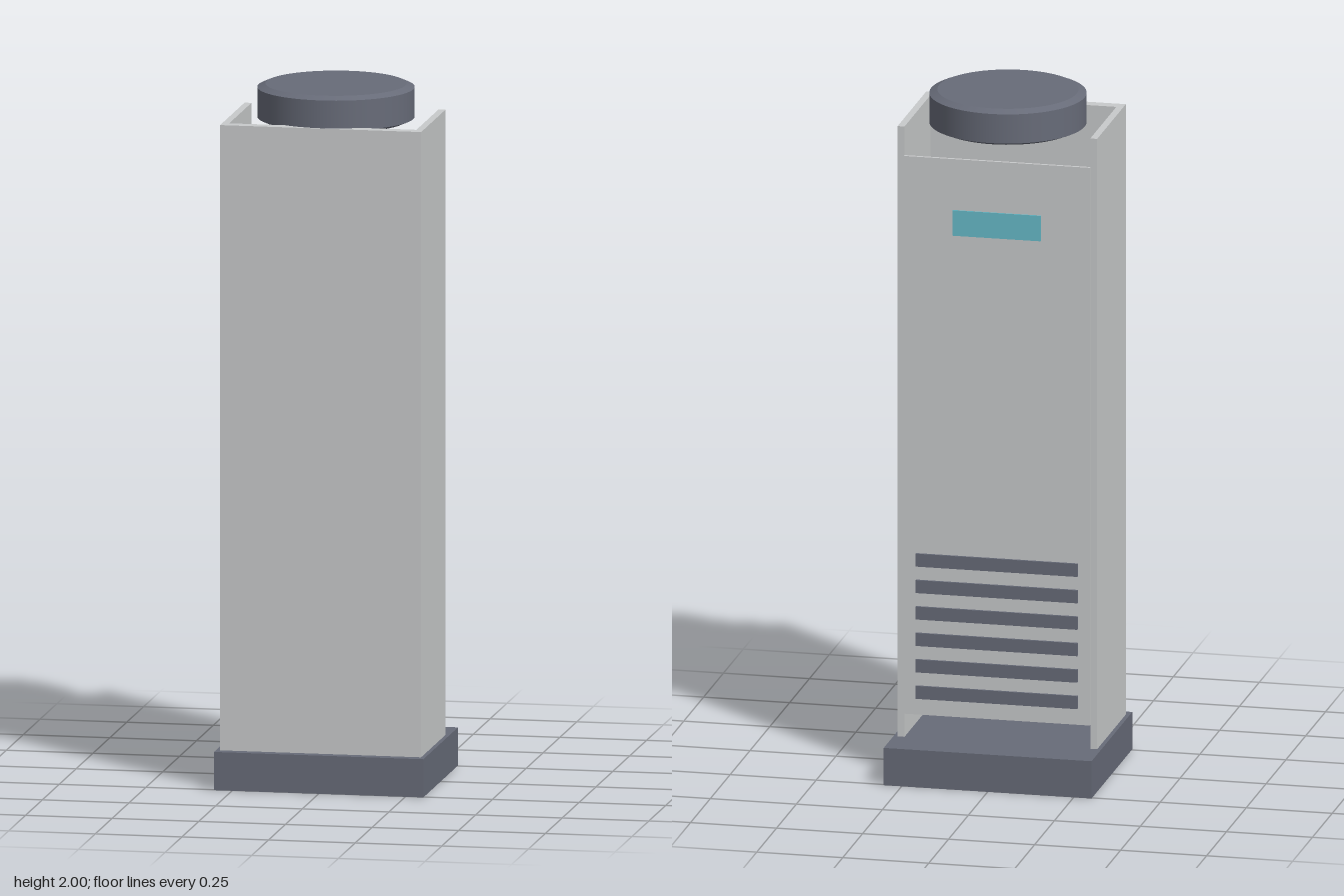
import * as THREE from 'three';

export function createModel() {
  const model = new THREE.Group();
  model.name = 'towerCabinet';

  const mat = (name, color) => {
    const m = new THREE.MeshStandardMaterial({ color });
    m.name = name;
    return m;
  };
  const lightGrey = mat('lightGrey', 0xc8cacb);
  const slate = mat('slate', 0x676b78);
  const cyan = mat('cyan', 0x67bbc9);

  const add = (name, geometry, material, parent = model) => {
    const mesh = new THREE.Mesh(geometry, material);
    mesh.name = name;
    parent.add(mesh);
    return mesh;
  };

  // Box given by its limits on each axis
  const box = (name, [x0, x1], [y0, y1], [z0, z1], material, parent) => {
    const mesh = add(name, new THREE.BoxGeometry(x1 - x0, y1 - y0, z1 - z0), material, parent);
    mesh.position.set((x0 + x1) / 2, (y0 + y1) / 2, (z0 + z1) / 2);
    return mesh;
  };

  // Plinth
  box('base', [-0.302, 0.302], [0, 0.11], [-0.257, 0.257], slate);

  // U-shaped shell, open at the back and top
  const plan = new THREE.Shape([
    [-0.29, 0.134], [-0.29, -0.228], [0.29, -0.228], [0.29, 0.134],
    [0.27, 0.134], [0.27, -0.195], [-0.27, -0.195], [-0.27, 0.134],
  ].map(([x, y]) => new THREE.Vector2(x, y)));
  const shell = add('shell',
    new THREE.ExtrudeGeometry(plan, { depth: 1.8, bevelEnabled: false }), lightGrey);
  shell.rotation.x = -Math.PI / 2;
  shell.position.y = 0.11;

  // Back panel, shorter than the shell at both ends
  box('backPanel', [-0.27, 0.27], [0.18, 1.825], [-0.14, -0.131], lightGrey);
  box('display', [-0.128, 0.128], [1.6, 1.675], [-0.144, -0.138], cyan);

  // Vent slats
  const vents = new THREE.Group();
  vents.name = 'vents';
  model.add(vents);
  for (let i = 0; i < 6; i++) {
    const y = 0.228 + i * 0.078;
    box('ventSlat', [-0.235, 0.235], [y, y + 0.038], [-0.147, -0.138], slate, vents);
  }

  // Filter block standing inside the shell
  box('innerFilter', [-0.235, 0.235], [0.3, 1.4], [-0.012, 0.055], cyan);

  // Round lid with chamfered rims: separate bands keep the edges sharp
  const lid = new THREE.Group();
  lid.name = 'lid';
  model.add(lid);
  const profile = [[0, 1.894], [0.2, 1.894], [0.223, 1.904], [0.223, 1.99], [0.2, 2], [0, 2]]
    .map(([r, y]) => new THREE.Vector2(r, y));
  for (let i = 0; i < profile.length - 1; i++) {
    add('lidBand', new THREE.LatheGeometry([profile[i], profile[i + 1]], 64), slate, lid);
  }

  return model;
}
